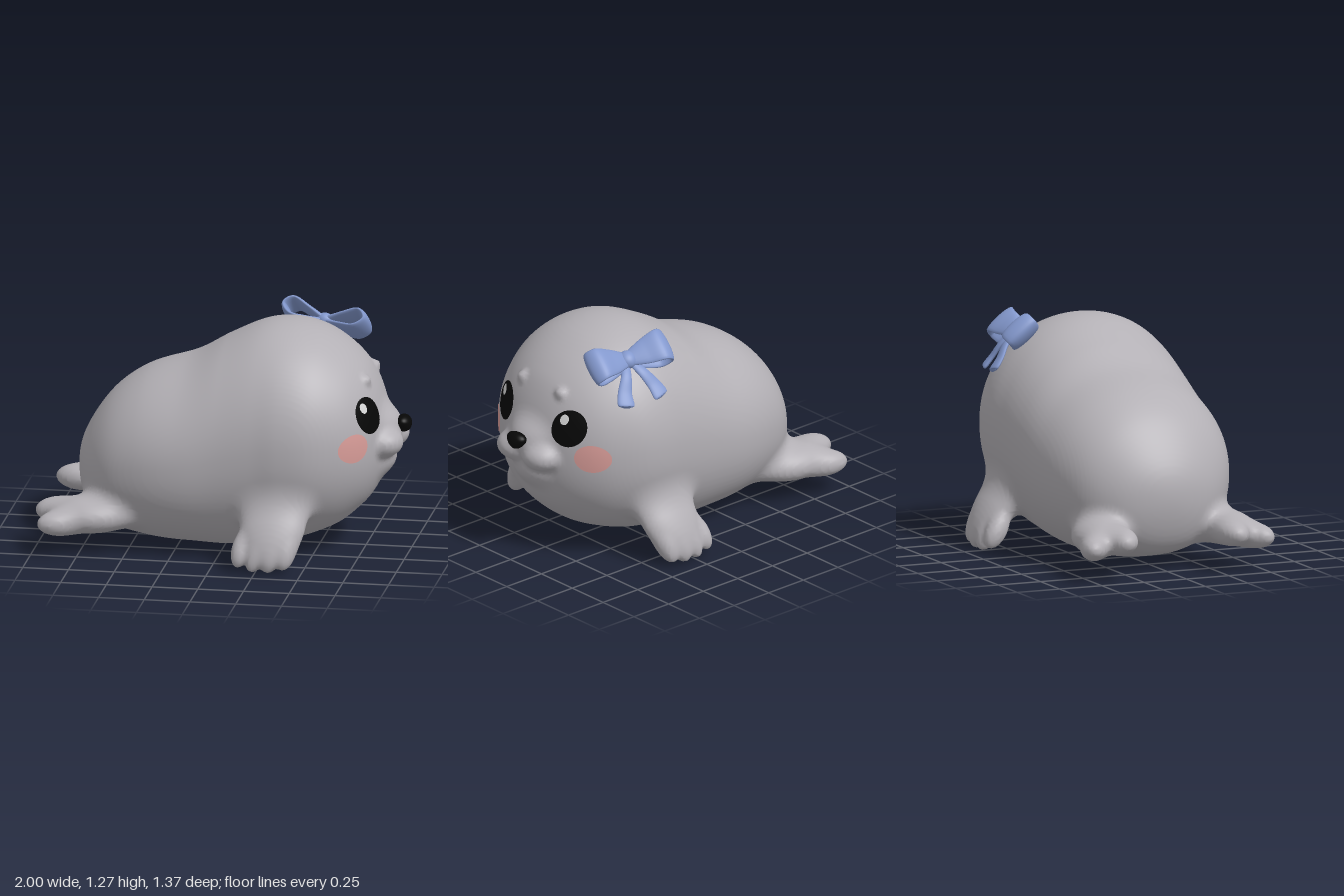
import * as THREE from 'three';

const V = (x, y, z) => new THREE.Vector3(x, y, z);
const mat = (name, color) => Object.assign(new THREE.MeshStandardMaterial({ color }), { name });

const fur = mat('grey fur', 0xb3b0b5);
const black = mat('black', 0x070707);
const shine = mat('eye shine', 0xd8d8d8);
const blush = mat('blush pink', 0xd99d99);
const blue = mat('ribbon blue', 0x8398cd);

function mesh(name, geometry, material) {
  const m = new THREE.Mesh(geometry, material);
  m.name = name;
  return m;
}

const spline = (pts) => new THREE.CatmullRomCurve3(pts, false, 'catmullrom', 0.5);

// Torso: x, centre height, height radius, width radius of the ellipsoid at that place
const torsoMid = 0.035, torsoHalf = 0.845;
const torso = [
  [-0.82, 0.42, 0.64, 0.69], [-0.76, 0.405, 0.635, 0.69], [-0.7, 0.415, 0.62, 0.67],
  [-0.6, 0.455, 0.583, 0.644], [-0.45, 0.49, 0.553, 0.604], [-0.2, 0.52, 0.53, 0.562],
  [0, 0.57, 0.57, 0.546], [0.2, 0.622, 0.62, 0.566], [0.35, 0.643, 0.65, 0.609],
  [0.5, 0.652, 0.674, 0.653], [0.63, 0.648, 0.7, 0.68], [0.72, 0.647, 0.72, 0.7],
  [0.79, 0.64, 0.75, 0.71], [0.88, 0.62, 0.77, 0.72],
];
const centreCurve = spline(torso.map((s) => V(s[0], s[1], s[2]))).getPoints(600);
const widthCurve = spline(torso.map((s) => V(s[0], s[3], 0))).getPoints(600);
const torsoTable = [];
for (let i = 0, k = 0; i <= 340; i++) {
  while (k < 599 && centreCurve[k + 1].x < -0.82 + i * 0.005) k++;
  const a = centreCurve[k], b = centreCurve[k + 1];
  const t = THREE.MathUtils.clamp((-0.82 + i * 0.005 - a.x) / (b.x - a.x), 0, 1);
  torsoTable.push([a.y + (b.y - a.y) * t, a.z + (b.z - a.z) * t,
    widthCurve[k].y + (widthCurve[k + 1].y - widthCurve[k].y) * t]);
}

function torsoField(x, y, z) {
  const f = THREE.MathUtils.clamp((x + 0.82) / 0.005, 0, 339.999), i = Math.floor(f);
  const [c, h, w] = torsoTable[i].map((v, n) => v + (torsoTable[i + 1][n] - v) * (f - i));
  const u = (x - torsoMid) / torsoHalf, dy = Math.abs(y - c) / h, dz = Math.abs(z) / w;
  const e = y < c ? 2.2 : 2.06; // slightly squarer belly
  const k0 = Math.sqrt(u * u + (dy ** e + dz ** e) ** (2 / e));
  return (k0 * (k0 - 1)) / Math.max(Math.hypot(u / torsoHalf, dy / h, dz / w), 1e-6);
}

// Ellipsoid blended into the skin: radii are across, along dir, and thick
function blob(center, radii, blend, dir = V(0, 1, 0), across = V(1, 0, 0)) {
  const y = dir.clone().normalize();
  const z = across.clone().cross(y).normalize();
  const x = y.clone().cross(z);
  return { c: center, r: radii, blend, x, y, z };
}

function blobField(b, px, py, pz) {
  const dx = px - b.c.x, dy = py - b.c.y, dz = pz - b.c.z;
  const l = (a, r) => (dx * a.x + dy * a.y + dz * a.z) / r;
  const u = l(b.x, b.r.x), v = l(b.y, b.r.y), w = l(b.z, b.r.z);
  const k0 = Math.hypot(u, v, w);
  return (k0 * (k0 - 1)) / Math.max(Math.hypot(u / b.r.x, v / b.r.y, w / b.r.z), 1e-6);
}

const armDir = V(-0.05, -0.24, 0.16), tailAcross = V(0.2, -0.12, 0.97);
const blobs = [
  // front flipper and its toes
  blob(V(0.33, 0.235, 0.525), V(0.175, 0.245, 0.09), 0.1, armDir),
  ...[[0.17, 0.12, 0.595], [0.25, 0.1, 0.605], [0.335, 0.1, 0.605], [0.415, 0.115, 0.595]].map(
    ([x, y, z]) => blob(V(x, y, z), V(0.052, 0.108, 0.057), 0.025, armDir)),
  // tail flipper and its two lobes
  blob(V(-0.68, 0.21, 0.37), V(0.145, 0.24, 0.098), 0.08, V(-0.97, -0.03, 0.17), tailAcross),
  blob(V(-0.86, 0.21, 0.325), V(0.085, 0.14, 0.073), 0.04, V(-0.97, 0, 0.07), tailAcross),
  blob(V(-0.835, 0.18, 0.47), V(0.077, 0.135, 0.07), 0.04, V(-0.85, 0, 0.4), tailAcross),
  // muzzle bridge, chin, muzzle lobe and brow
  blob(V(0.83, 0.68, 0), V(0.115, 0.1, 0.14), 0.08),
  blob(V(0.82, 0.505, 0), V(0.09, 0.075, 0.11), 0.08),
  blob(V(0.858, 0.612, 0.1), V(0.11, 0.082, 0.115), 0.035),
  blob(V(0.775, 0.967, 0.153), V(0.026, 0.026, 0.028), 0.03),
];

// Signed distance to the whole skin, mirrored left and right
function field(x, y, z) {
  const az = Math.abs(z);
  let d = torsoField(x, y, az);
  for (const b of blobs) {
    const e = blobField(b, x, y, az);
    const h = Math.max(b.blend - Math.abs(d - e), 0) / b.blend;
    d = Math.min(d, e) - (h * h * b.blend) / 4;
  }
  return d;
}

// Even quad skin over the zero level of the field
function makeSkin() {
  const s = 0.016, n = [132, 86, 94], o = [-1.05, -0.06, -0.752];
  const step = [n[1] * n[2], n[2], 1];
  const at = (i, a) => o[a] + i * s;
  const val = new Float32Array(n[0] * step[0]);
  for (let i = 0, q = 0; i < n[0]; i++) {
    for (let j = 0; j < n[1]; j++) for (let k = 0; k < n[2]; k++) val[q++] = field(at(i, 0), at(j, 1), at(k, 2));
  }
  const cell = new Int32Array(val.length).fill(-1), pos = [], idx = [];
  const eachCell = (visit) => {
    for (let i = 1; i < n[0] - 1; i++) {
      for (let j = 1; j < n[1] - 1; j++) for (let k = 1; k < n[2] - 1; k++) visit([i, j, k], i * step[0] + j * step[1] + k);
    }
  };
  const corner = (c) => (c & 1) * step[0] + ((c >> 1) & 1) * step[1] + (c >> 2);
  eachCell((p, q) => {
    const sum = [0, 0, 0];
    let count = 0;
    for (let c = 0; c < 8; c++) {
      for (let a = 0; a < 3; a++) {
        if (c & (1 << a)) continue;
        const f0 = val[q + corner(c)], f1 = val[q + corner(c) + step[a]];
        if ((f0 < 0) === (f1 < 0)) continue;
        for (let m = 0; m < 3; m++) sum[m] += m === a ? f0 / (f0 - f1) : (c >> m) & 1;
        count++;
      }
    }
    if (!count) return;
    // settle the corner on the surface
    const [x, y, z] = sum.map((v, a) => at(p[a] + v / count, a));
    const f = field(x, y, z), e = 0.002;
    const g = V(field(x + e, y, z) - f, field(x, y + e, z) - f, field(x, y, z + e) - f).normalize();
    cell[q] = pos.length / 3;
    pos.push(x - g.x * f, y - g.y * f, z - g.z * f);
  });
  eachCell((p, q) => {
    for (let a = 0; a < 3; a++) {
      const inside = val[q] < 0;
      if (inside === val[q + step[a]] < 0) continue;
      const u = step[(a + 1) % 3], v = step[(a + 2) % 3];
      const r = [cell[q], cell[q - u], cell[q - u - v], cell[q - v]];
      if (!inside) r.reverse();
      idx.push(r[0], r[1], r[2], r[0], r[2], r[3]);
    }
  });
  const g = new THREE.BufferGeometry();
  g.setAttribute('position', new THREE.Float32BufferAttribute(pos, 3));
  g.setIndex(idx);
  g.computeVertexNormals();
  return mesh('bodyAndFlippers', g, fur);
}

// Thin oval lying on the front of the head
function facePatch(name, y, z, ry, rz, lift, material) {
  const g = new THREE.RingGeometry(0, 1, 40, 6);
  const p = g.attributes.position;
  for (let i = 0; i < p.count; i++) {
    const py = y + p.getX(i) * ry, pz = z + p.getY(i) * rz;
    let lo = 0.4, hi = 1.05;
    for (let k = 0; k < 24; k++) {
      const mid = (lo + hi) / 2;
      if (field(mid, py, pz) < 0) lo = mid; else hi = mid;
    }
    p.setXYZ(i, lo + lift, py, pz);
  }
  g.computeVertexNormals();
  return mesh(name, g, material);
}

function makeFace() {
  const face = new THREE.Group();
  face.name = 'face';
  for (const s of [1, -1]) {
    face.add(
      facePatch('eye', 0.8, s * 0.253, 0.1, 0.093, 0.006, black),
      facePatch('eyeShine', 0.847, s * 0.257 + 0.03, 0.028, 0.024, 0.011, shine),
      facePatch('cheek', 0.645, s * 0.378, 0.079, 0.079, 0.006, blush),
    );
  }
  // nose, wider at the top
  const g = new THREE.SphereGeometry(1, 32, 20), p = g.attributes.position;
  for (let i = 0; i < p.count; i++) p.setZ(i, p.getZ(i) * (0.9 + 0.38 * p.getY(i)));
  g.scale(0.045, 0.047, 0.066);
  g.translate(0.955, 0.693, 0);
  g.computeVertexNormals();
  face.add(mesh('nose', g, black));
  return face;
}

// Ribbon through stations [x, y, z, halfWidth along u, halfThickness]
function ribbon(stations, u, rows, cols = 20) {
  const path = spline(stations.map((s) => V(s[0], s[1], s[2])));
  const size = spline(stations.map((s) => V(s[3], s[4], 0)));
  const pos = [], idx = [];
  for (let i = 0; i <= rows; i++) {
    const c = path.getPoint(i / rows), r = size.getPoint(i / rows);
    const v = path.getTangent(i / rows).cross(u).normalize();
    for (let j = 0; j < cols; j++) {
      const a = (j / cols) * Math.PI * 2, q = i * cols + j, w = i * cols + ((j + 1) % cols);
      pos.push(...c.clone().addScaledVector(u, r.x * Math.cos(a)).addScaledVector(v, r.y * Math.sin(a)).toArray());
      if (i < rows) idx.push(q, w, q + cols, w, w + cols, q + cols);
    }
  }
  const g = new THREE.BufferGeometry();
  g.setAttribute('position', new THREE.Float32BufferAttribute(pos, 3));
  g.setIndex(idx);
  g.computeVertexNormals();
  return g;
}

// Bow built flat: x across, y away from the head, z up the slope
function makeBow() {
  const bow = new THREE.Group();
  bow.name = 'bow';
  for (const s of [1, -1]) {
    const loop = [
      [0, 0.04, 0, 0.04, 0.018], [0.1, 0.08, 0, 0.075, 0.018], [0.185, 0.11, 0, 0.093, 0.018],
      [0.232, 0.065, 0, 0.096, 0.018], [0.185, 0.015, 0, 0.093, 0.018], [0.1, 0.015, 0, 0.075, 0.018],
      [0, 0.03, 0, 0.04, 0.018],
    ].map(([x, ...r]) => [s * x, ...r]);
    const tail = [
      [0.01, 0.03, 0, 0.02, 0.014], [0.05, 0.035, -0.09, 0.03, 0.014], [0.09, 0.01, -0.17, 0.04, 0.014],
      [0.108, -0.005, -0.235, 0.046, 0.014], [0.109, -0.005, -0.239, 0.002, 0.002],
    ].map(([x, ...r]) => [s * x, ...r]);
    bow.add(
      mesh('bowLoop', ribbon(loop, V(0, 0, 1), 56), blue),
      mesh('bowTail', ribbon(tail, V(1, 0, s * 0.35).normalize(), 32), blue),
    );
  }
  const knot = mesh('bowKnot', new THREE.SphereGeometry(1, 24, 16), blue);
  knot.scale.set(0.05, 0.042, 0.052);
  knot.position.y = 0.04;
  bow.add(knot);
  const x = V(0.97, -0.08, 0.2).normalize();
  const z = x.clone().cross(V(0, 0.75, -0.65)).normalize();
  bow.quaternion.setFromRotationMatrix(new THREE.Matrix4().makeBasis(x, z.clone().cross(x), z));
  bow.position.set(0.46, 1.112, -0.325);
  return bow;
}

export function createModel() {
  const model = new THREE.Group();
  model.name = 'sealPup';
  model.add(makeSkin(), makeFace(), makeBow());
  return model;
}
